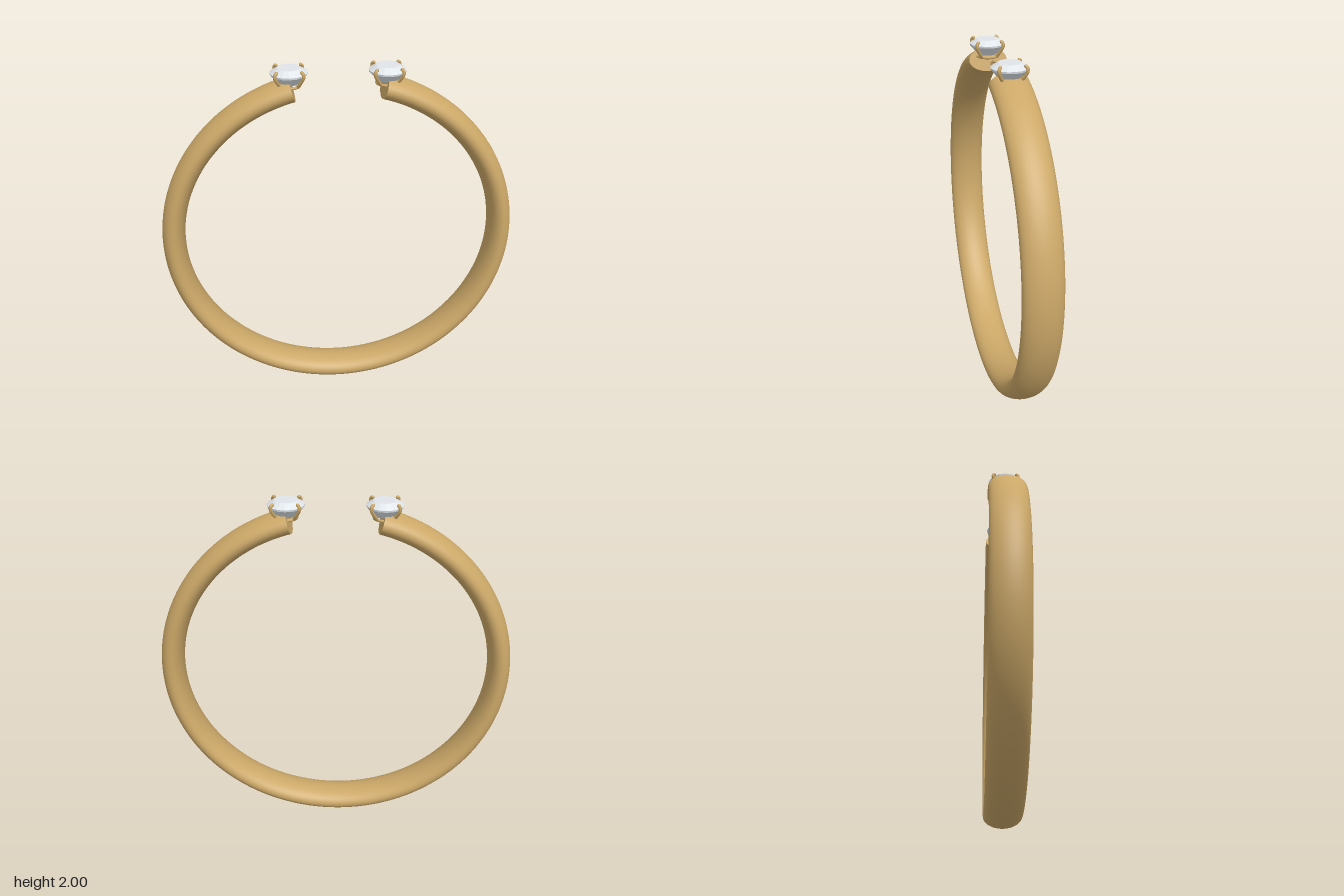
import * as THREE from 'three';

const gold = new THREE.MeshStandardMaterial({ color: 0xcca868 });
const gem = new THREE.MeshStandardMaterial({ color: 0xe0e5ea, flatShading: true });

function add(parent, name, geometry, material) {
  const mesh = new THREE.Mesh(geometry, material);
  mesh.name = name;
  parent.add(mesh);
  return mesh;
}

// Open bangle: circular sweep with an oval section, capped at both ends
function createBand() {
  const band = new THREE.Group();
  band.name = 'band';
  const R = 0.927, r = 0.063, widen = 0.105 / r, gap = Math.PI / 12;
  const sweep = new THREE.TorusGeometry(R, r, 32, 160, 2 * (Math.PI - gap));
  sweep.scale(1, 1, widen);
  sweep.rotateZ(Math.PI / 2 + gap);
  add(band, 'bandTube', sweep, gold);

  for (const side of [-1, 1]) {
    const cap = new THREE.CircleGeometry(r, 32);
    cap.scale(1, widen, 1);
    cap.rotateX(Math.PI / 2);           // oval now lies in x and z, facing down
    if (side < 0) cap.rotateZ(Math.PI); // face up
    // Turn the cap to face into the gap at its end of the band
    const angle = Math.PI / 2 - side * gap;
    cap.translate(R, 0, 0);
    if (side < 0) cap.translate(0, 0, 0);
    const mesh = add(band, 'bandEnd', cap, new THREE.MeshStandardMaterial({ color: 0xcca868, side: THREE.DoubleSide }));
    mesh.rotation.z = angle;
  }
  band.position.y = 0.99;
  return band;
}

// Round-cut stone held by four claws on a small base ring
function createSetting() {
  const setting = new THREE.Group();
  setting.name = 'stoneSetting';

  const profile = [[0, -0.065], [0.05, -0.055], [0.096, -0.006], [0.098, 0.004], [0.06, 0.028], [0, 0.028]]
    .map(([x, y]) => new THREE.Vector2(x, y));
  add(setting, 'stone', new THREE.LatheGeometry(profile, 16), gem);

  const ring = new THREE.TorusGeometry(0.056, 0.008, 8, 32);
  ring.rotateX(Math.PI / 2);
  add(setting, 'baseRing', ring, gold).position.y = -0.066;

  const path = new THREE.CatmullRomCurve3([
    [0.055, -0.066], [0.082, -0.036], [0.102, -0.004], [0.1, 0.014], [0.09, 0.02],
  ].map(([x, y]) => new THREE.Vector3(x, y, 0)));
  for (let i = 0; i < 4; i++) {
    const claw = new THREE.Group();
    claw.name = 'claw';
    claw.rotation.y = Math.PI / 4 + i * Math.PI / 2;
    add(claw, 'clawWire', new THREE.TubeGeometry(path, 16, 0.009, 8), gold);
    add(claw, 'clawTip', new THREE.SphereGeometry(0.009, 10, 8), gold).position.set(0.09, 0.02, 0);
    setting.add(claw);
  }
  return setting;
}

export function createModel() {
  const model = new THREE.Group();
  model.name = 'openBangle';
  model.add(createBand());
  for (const side of [-1, 1]) {
    const setting = createSetting();
    setting.position.set(side * 0.254, 1.971, 0);
    model.add(setting);
  }
  return model;
}
